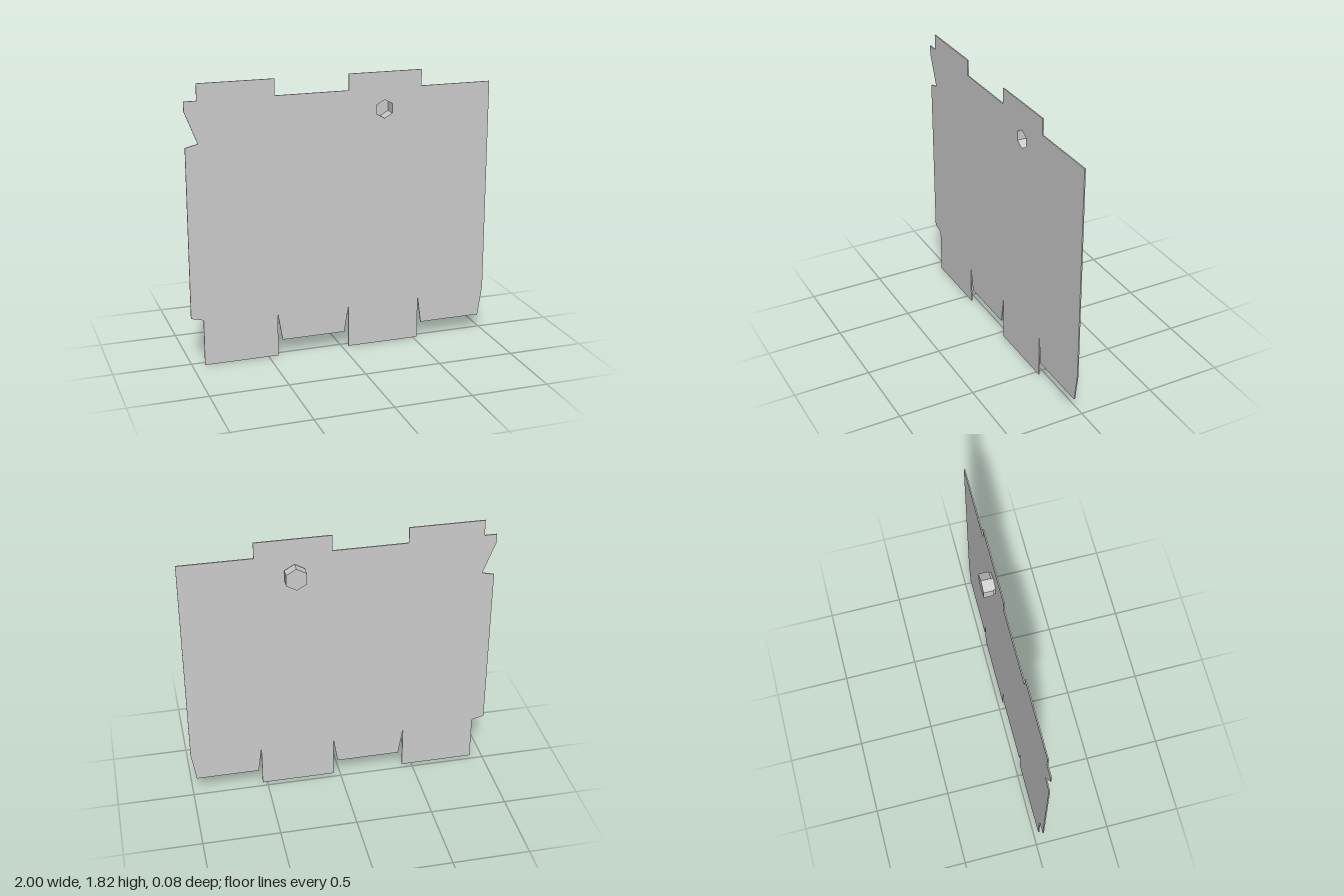
import * as THREE from 'three';

const BACK = 0.034, FRONT = 0.042;   // faces of the thin panel
const HUB = [0.283, 1.577];          // centre of the hexagonal socket
const SOCKET_R = 0.06;

// Corners of a hexagon with its points up and down
function hexagon(radius, [cx, cy]) {
  return Array.from({ length: 6 }, (_, i) => new THREE.Vector2(
    cx + radius * Math.sin(i * Math.PI / 3),
    cy + radius * Math.cos(i * Math.PI / 3)));
}

export function createModel() {
  const group = new THREE.Group();
  const material = new THREE.MeshStandardMaterial({
    color: 0xcccccc, flatShading: true, side: THREE.DoubleSide });

  // Panel outline, anticlockwise from the lower left tab
  const outline = [
    [-0.92, 0], [-0.435, 0], [-0.435, 0.29], [-0.405, 0.105],
    [0.015, 0.105], [0.045, 0.29], [0.045, 0], [0.53, 0],
    [0.53, 0.29], [0.555, 0.105], [0.97, 0.105], [1, 0.3],
    [1, 1.71], [0.53, 1.71], [0.53, 1.815], [0.045, 1.815],
    [0.045, 1.71], [-0.435, 1.71], [-0.435, 1.815], [-0.92, 1.815],
    [-0.92, 1.71], [-1, 1.71], [-1, 1.65], [-0.92, 1.445],
    [-1, 1.425], [-1, 0.325], [-0.92, 0.305],
  ].map(([x, y]) => new THREE.Vector2(x, y));
  const shape = new THREE.Shape(outline);
  shape.holes.push(new THREE.Path(hexagon(SOCKET_R, HUB)).closePath());

  const panelGeometry = new THREE.ExtrudeGeometry(shape, { depth: FRONT - BACK, bevelEnabled: false });
  panelGeometry.translate(0, 0, BACK);
  const panel = new THREE.Mesh(panelGeometry, material);
  panel.name = 'panel';
  group.add(panel);

  // Hollow hexagonal cup behind the panel: back cap, body, neck, then inner wall and floor
  const profile = [
    [0, -FRONT], [0.074, -FRONT], [0.074, 0.021], [0.066, 0.021],
    [0.066, BACK], [SOCKET_R, BACK], [SOCKET_R, -0.038], [0, -0.038],
  ].map(([r, z]) => new THREE.Vector2(r, z));
  const cupGeometry = new THREE.LatheGeometry(profile, 6);
  cupGeometry.rotateX(Math.PI / 2);
  const cup = new THREE.Mesh(cupGeometry, material);
  cup.position.set(HUB[0], HUB[1], 0);
  cup.name = 'hexSocket';
  group.add(cup);

  return group;
}
